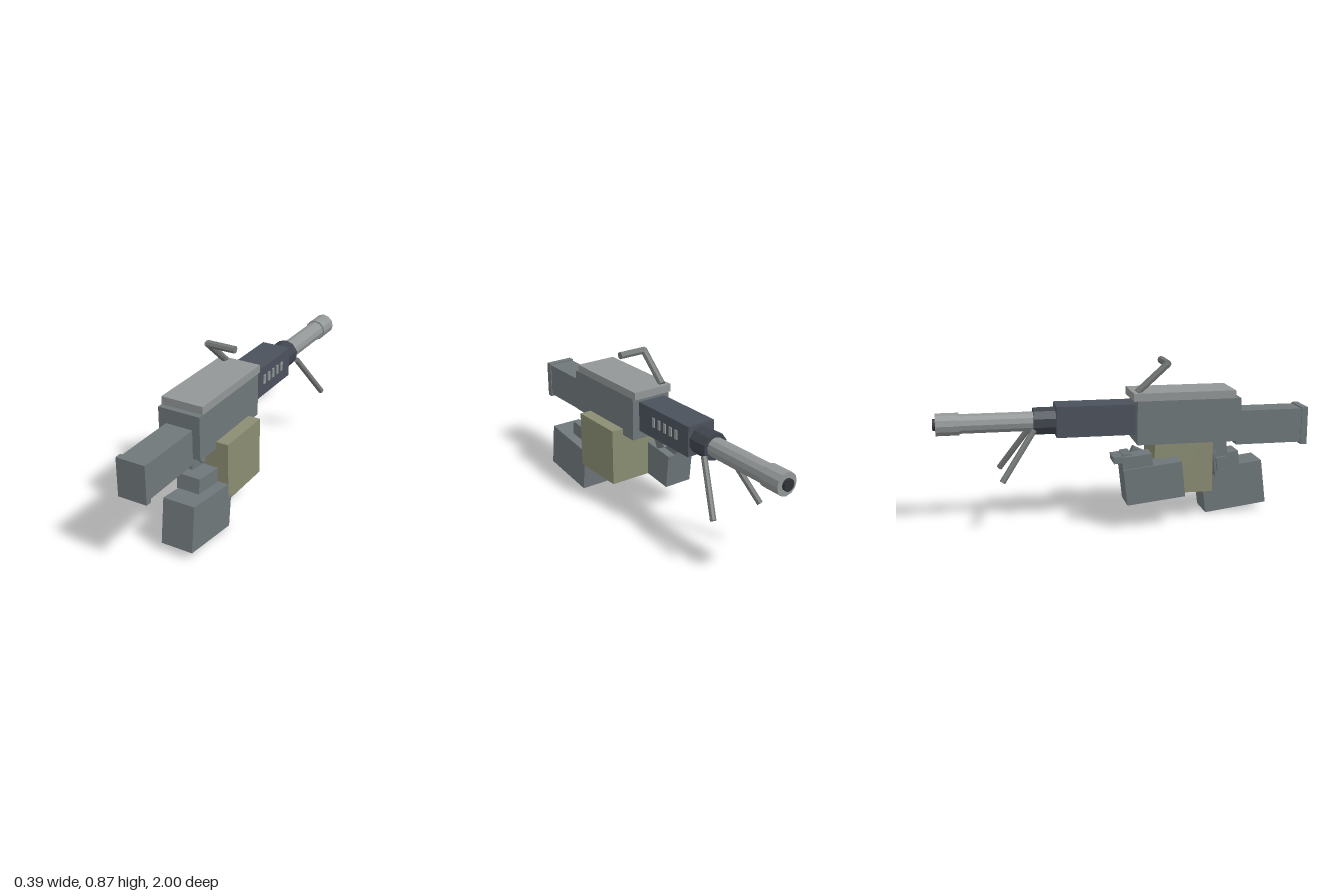
import * as THREE from 'three';

export function createModel() {
  const root = new THREE.Group();
  const mat = (name, color) => {
    const m = new THREE.MeshStandardMaterial({ color, flatShading: true });
    m.name = name;
    return m;
  };
  const steel = mat('steel grey', 0x6f777a);
  const light = mat('light grey', 0x929696);
  const guard = mat('blue black', 0x4b515c);
  const collarMat = mat('dark collar', 0x3f444d);
  const olive = mat('olive', 0x8a8d72);
  const rodMat = mat('rod grey', 0x737776);
  const bore = mat('bore black', 0x303236);

  const add = (name, geo, material, parent = root) => {
    const mesh = new THREE.Mesh(geo, material);
    mesh.name = name;
    parent.add(mesh);
    return mesh;
  };
  // Box from its limits on each axis
  const box = (name, [x0, x1], [y0, y1], [z0, z1], material, parent) => {
    const m = add(name, new THREE.BoxGeometry(x1 - x0, y1 - y0, z1 - z0), material, parent);
    m.position.set((x0 + x1) / 2, (y0 + y1) / 2, (z0 + z1) / 2);
    return m;
  };
  // Box from centre and size, pitched about x
  const block = (name, size, pos, pitch, material, parent) => {
    const m = add(name, new THREE.BoxGeometry(...size), material, parent);
    m.position.set(...pos);
    m.rotation.x = pitch;
    return m;
  };
  // Straight round bar between two points
  const rod = (name, a, b, r, sides, material, parent) => {
    const p = new THREE.Vector3(...a), q = new THREE.Vector3(...b);
    const m = add(name, new THREE.CylinderGeometry(r, r, p.distanceTo(q), sides), material, parent);
    m.position.copy(p).add(q).multiplyScalar(0.5);
    m.quaternion.setFromUnitVectors(new THREE.Vector3(0, 1, 0), q.sub(p).normalize());
    return m;
  };
  const cx = 0.014, cy = 0.562;

  // Stock, body and lid
  box('stock', [-0.06, 0.088], [0.405, 0.59], [0.6, 0.97], steel);
  box('buttPlate', [-0.065, 0.093], [0.392, 0.597], [0.965, 1], steel);
  box('receiver', [-0.102, 0.13], [0.435, 0.668], [0.05, 0.61], steel);
  box('topCover', [-0.102, 0.13], [0.668, 0.71], [0.03, 0.58], light);

  // Handguard with vents on its left face
  box('handguard', [-0.07, 0.093], [0.485, 0.648], [-0.37, 0.045], guard);
  for (let i = 0; i < 5; i++) {
    const z = -0.085 - i * 0.0475;
    box('vent', [0.092, 0.099], [0.55, 0.6], [z - 0.01, z + 0.01], light);
  }

  // Barrel group along z
  rod('collar', [cx, cy, -0.36], [cx, cy, -0.485], 0.073, 10, collarMat);
  rod('barrel', [cx, cy, -0.48], [cx, cy, -0.98], 0.052, 12, light);
  rod('muzzle', [cx, cy, -0.865], [cx, cy, -0.985], 0.06, 12, light);
  rod('bore', [cx, cy, -0.98], [cx, cy, -1], 0.031, 12, bore);

  // Splayed bipod legs
  for (const s of [-1, 1]) {
    rod('bipodLeg', [cx + s * 0.07, 0.53, -0.485], [cx + s * 0.15, 0.28, -0.66], 0.016, 8, rodMat);
  }

  // Bent carrying handle
  rod('handlePost', [-0.0625, 0.71, 0.055], [-0.0625, 0.858, 0.22], 0.019, 8, rodMat);
  rod('handleBar', [-0.064, 0.855, 0.216], [0.093, 0.855, 0.216], 0.02, 8, rodMat);

  // Ammunition box
  box('ammoBox', [-0.08, 0.197], [0.157, 0.47], [0.147, 0.465], olive);

  // Rear grip with trigger tabs
  block('grip', [0.08, 0.22, 0.08], [0.014, 0.335, 0.525], -0.12, steel);
  box('triggerTab', [-0.04, 0.07], [0.35, 0.364], [0.47, 0.5], steel);

  // Rear forearm, hand and curled fingers
  const rear = new THREE.Group();
  rear.name = 'rearArm';
  root.add(rear);
  block('forearm', [0.174, 0.243, 0.347], [0.11, 0.146, 0.617], -0.125, steel, rear);
  block('hand', [0.127, 0.08, 0.17], [0.0775, 0.3, 0.557], -0.125, steel, rear);
  for (let i = 0; i < 3; i++) {
    block('finger', [0.07, 0.018, 0.075], [0.02, 0.345 + i * 0.025, 0.515], -0.125, steel, rear);
  }
  block('thumb', [0.025, 0.075, 0.06], [-0.032, 0.297, 0.53], -0.125, steel, rear);

  // Front forearm, hand, fingers and thumb
  const front = new THREE.Group();
  front.name = 'frontArm';
  root.add(front);
  block('forearm', [0.162, 0.19, 0.31], [-0.116, 0.25, 0.122], -0.11, steel, front);
  block('hand', [0.105, 0.09, 0.16], [-0.132, 0.355, 0.034], -0.11, steel, front);
  for (let i = 0; i < 4; i++) {
    const x = -0.165 + i * 0.031;
    block('finger', [0.026, 0.035, 0.06], [x, 0.38, -0.06], -0.11, steel, front);
    block('fingerTip', [0.022, 0.009, 0.045], [x, 0.405, -0.02], -0.11, steel, front);
  }
  block('thumb', [0.04, 0.065, 0.07], [-0.06, 0.38, 0.05], 0.45, steel, front);
  return root;
}
